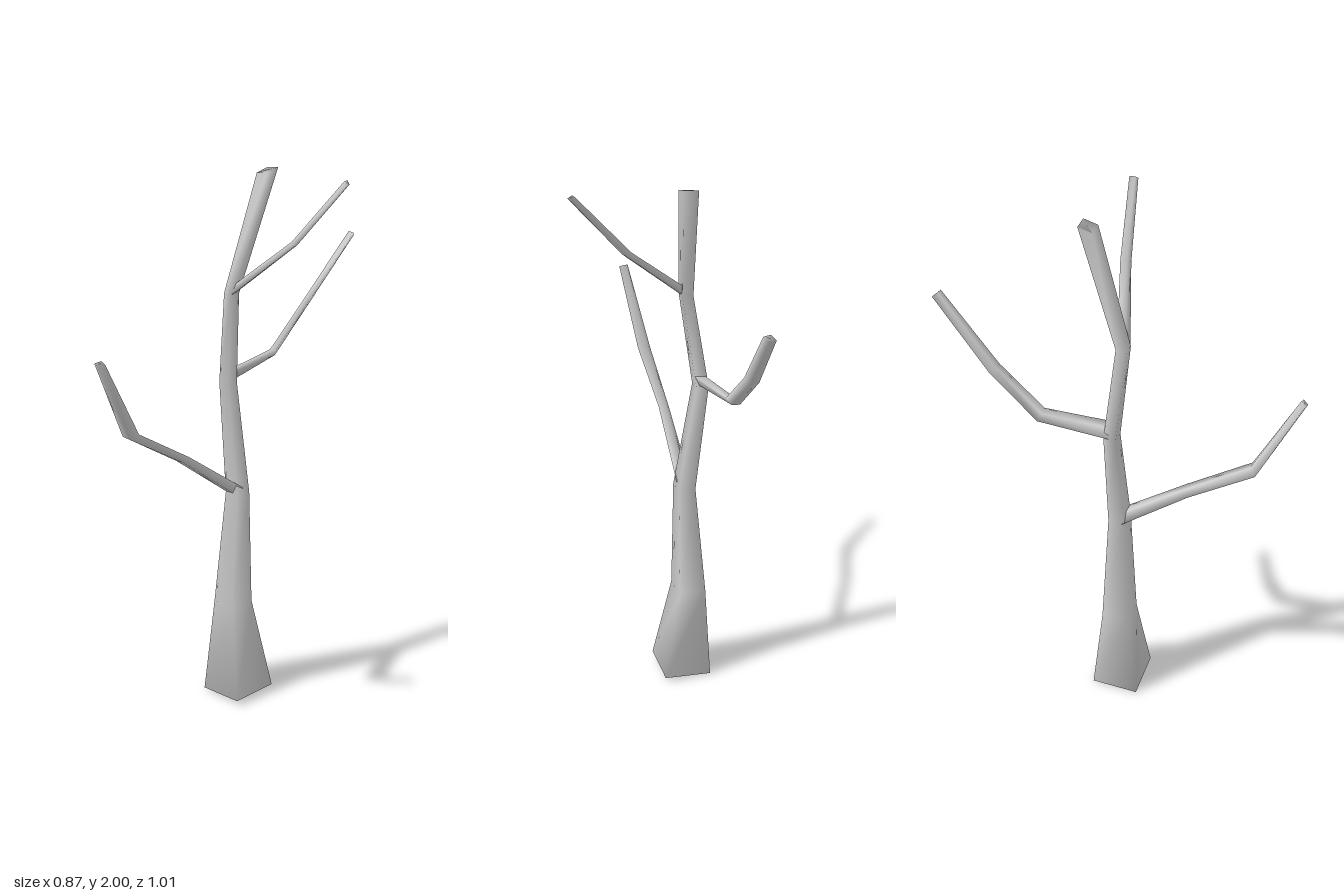
import * as THREE from 'three';

const v = (x, y, z) => new THREE.Vector3(x, y, z);

// Closed smooth tube through four-cornered rings (counter-clockwise about the growth direction)
function skin(name, rings) {
  const index = [];
  const last = (rings.length - 1) * 4;
  for (let i = 0; i < last; i += 4) {
    for (let j = 0; j < 4; j++) {
      const a = i + j, b = i + (j + 1) % 4;
      index.push(a, b, b + 4, a, b + 4, a + 4);
    }
  }
  index.push(0, 2, 1, 0, 3, 2, last, last + 1, last + 2, last, last + 2, last + 3);
  const geometry = new THREE.BufferGeometry().setFromPoints(rings.flat());
  geometry.setIndex(index);
  geometry.computeVertexNormals();
  const mesh = new THREE.Mesh(geometry, new THREE.MeshStandardMaterial({ color: 0xcccccc }));
  mesh.name = name;
  return mesh;
}

// Trunk ring: extents in x and z, with the height rising by tiltX and tiltZ at the +x and +z corners
function trunkRing([y, x0, x1, z0, z1, tiltX = 0, tiltZ = 0]) {
  const cx = (x0 + x1) / 2, cz = (z0 + z1) / 2;
  return [v(x1, y + tiltX, cz), v(cx, y - tiltZ, z0), v(x0, y - tiltX, cz), v(cx, y + tiltZ, z1)];
}

// Flattened branch: stations are [x, y, z, long radius, short radius]
function branch(name, wide, stations) {
  const pts = stations.map(([x, y, z]) => v(x, y, z));
  const rings = stations.map(([, , , a, b], i) => {
    const p = pts[i];
    const dir = v(0, 0, 0);
    if (i > 0) dir.add(p.clone().sub(pts[i - 1]).normalize());
    if (i < pts.length - 1) dir.add(pts[i + 1].clone().sub(p).normalize());
    dir.normalize();
    const u = wide.clone().projectOnPlane(dir).normalize();
    const w = dir.clone().cross(u);
    return [[u, a], [w, b], [u, -a], [w, -b]].map(([axis, r]) => p.clone().addScaledVector(axis, r));
  });
  return skin(name, rings);
}

export function createModel() {
  const tree = new THREE.Group();
  tree.name = 'bareTree';

  // Trunk flaring at the foot and bending towards the top
  tree.add(skin('trunk', [
    [0.01, -0.12, 0.14, -0.10, 0.157, 0.01, 0.01],
    [0.37, -0.08, 0.06, -0.067, 0.08],
    [0.82, -0.036, 0.05, -0.032, 0.06],
    [1.23, -0.06, 0.003, -0.066, 0.0],
    [1.57, -0.04, 0.012, -0.012, 0.045],
    [1.983, 0.07, 0.143, -0.092, -0.018, 0.01, -0.004],
  ].map(trunkRing)));

  // Lower branch, reaching forward
  tree.add(branch('lowerBranch', v(0.57, 0.6, 0.57), [
    [0.0, 0.83, 0.02, 0.036, 0.018],
    [-0.18, 1.02, 0.195, 0.028, 0.013],
    [-0.34, 1.17, 0.365, 0.032, 0.017],
    [-0.418, 1.46, 0.493, 0.02, 0.014],
  ]));

  // Middle branch, reaching back
  tree.add(branch('middleBranch', v(0.57, 0.6, 0.57), [
    [-0.025, 1.252, -0.035, 0.034, 0.02],
    [0.13, 1.28, -0.235, 0.028, 0.014],
    [0.25, 1.435, -0.355, 0.026, 0.013],
    [0.423, 1.675, -0.488, 0.021, 0.013],
  ]));

  // Upper branch, forking beside the trunk tip
  tree.add(branch('upperBranch', v(0.38, 0.6, -0.7), [
    [-0.01, 1.58, 0.02, 0.026, 0.014],
    [0.2, 1.77, 0.125, 0.021, 0.011],
    [0.362, 1.99, 0.23, 0.017, 0.01],
  ]));

  return tree;
}
